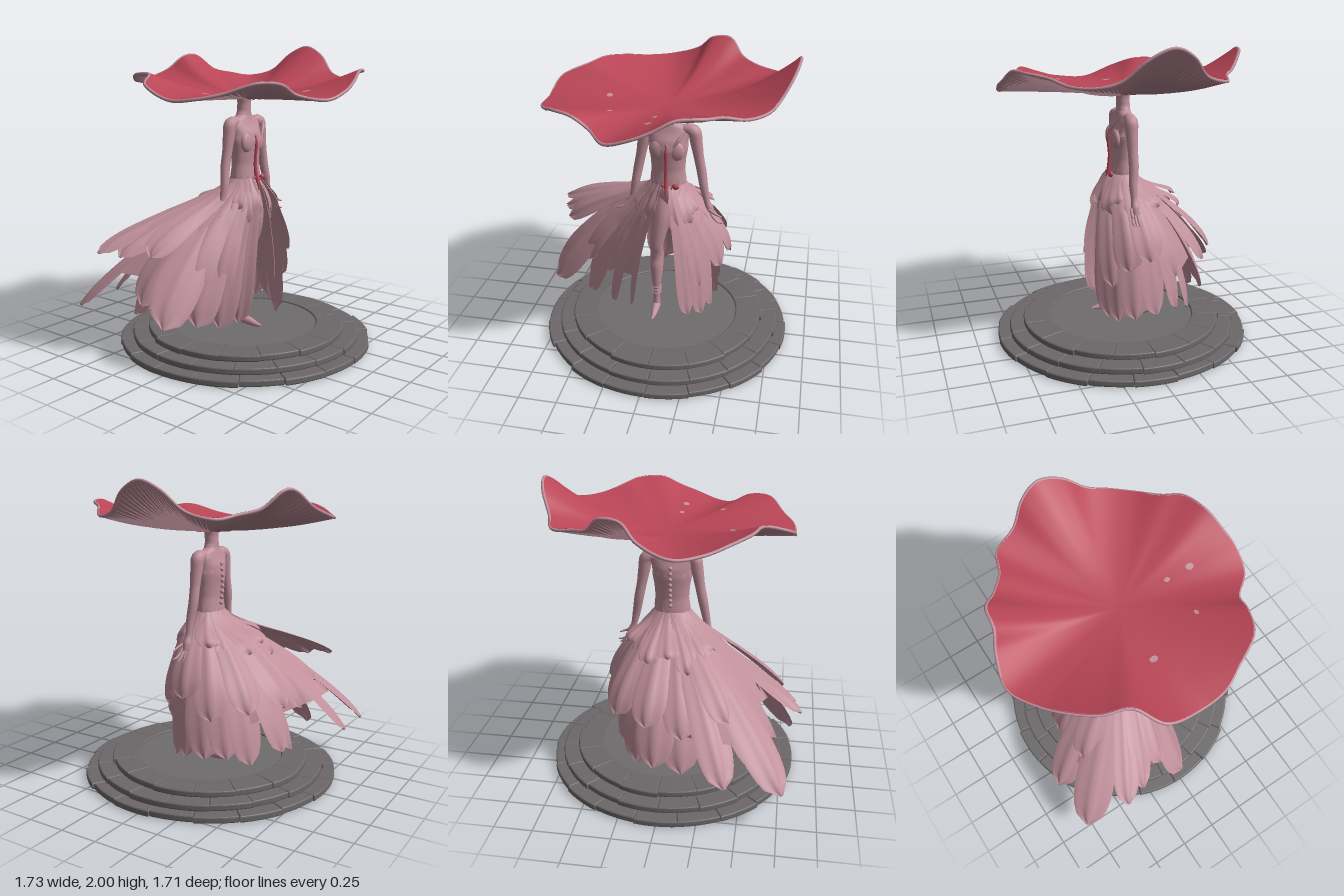
import * as THREE from 'three';
import { mergeGeometries, mergeVertices } from 'three/addons/utils/BufferGeometryUtils.js';

const V = (x, y, z) => new THREE.Vector3(x, y, z);
const D = Math.PI / 180, TAU = Math.PI * 2, CX = 0.02;
const mat = (name, color, side = THREE.FrontSide) => {
  const m = new THREE.MeshStandardMaterial({ color, side });
  m.name = name;
  return m;
};

// Smooth surface from a rule f(u, v) -> Vector3
function grid(nu, nv, f) {
  const pos = [], idx = [];
  for (let i = 0; i <= nu; i++) for (let j = 0; j <= nv; j++) pos.push(...f(i / nu, j / nv).toArray());
  for (let i = 0; i < nu; i++) for (let j = 0; j < nv; j++) {
    const a = i * (nv + 1) + j, b = a + nv + 1;
    idx.push(a, b, a + 1, b, b + 1, a + 1);
  }
  let g = new THREE.BufferGeometry();
  g.setAttribute('position', new THREE.Float32BufferAttribute(pos, 3));
  g.setIndex(idx);
  g = mergeVertices(g, 1e-5);
  g.computeVertexNormals();
  return g;
}

const sample = (list, t) => {
  const f = Math.min(t, 0.9999) * (list.length - 1), i = Math.floor(f);
  return THREE.MathUtils.lerp(list[i], list[i + 1], f - i);
};

// Round limb along a spline; each point is [x, y, z, radius]
function limb(points, n = 20, sides = 14) {
  const curve = new THREE.CatmullRomCurve3(points.map(p => V(p[0], p[1], p[2])));
  const radii = points.map(p => p[3]);
  const fr = curve.computeFrenetFrames(n);
  return grid(n, sides, (u, v) => {
    const i = Math.round(u * n), a = -TAU * v, r = sample(radii, u);
    return curve.getPoint(u).addScaledVector(fr.normals[i], r * Math.cos(a)).addScaledVector(fr.binormals[i], r * Math.sin(a));
  });
}

// Path of a skirt petal from the waist to its tip
function petalPath(az, x, y, z) {
  const c = Math.cos(az * D), s = Math.sin(az * D);
  const p0 = V(CX + 0.12 * c, 1.13, 0.085 * s), tip = V(x, y, z);
  const k = 1.18 - 0.38 * Math.min(1, Math.hypot(x, z) / 0.9);
  const p1 = V(p0.x + 0.1 * c, 1.0, p0.z + 0.08 * s);
  const p2 = V(x * k, y + 0.4 * (1.12 - y), z * k);
  return new THREE.CubicBezierCurve3(p0, p1, p2, tip);
}

// Curved petal with a lengthwise fold and rounded end; twist turns its face to the front
function petal(az, x, y, z, width, twist = 0) {
  const path = petalPath(az, x, y, z), p0 = path.v0;
  const out = V(x - p0.x, 0, z - p0.z).normalize();
  const side0 = V(-out.z, 0, out.x), n0 = V(out.x * 0.8, 0.6, out.z * 0.8);
  return grid(18, 8, (u, v) => {
    const s = v * 2 - 1, t = twist * Math.min(1, u * 2);
    const side = side0.clone().multiplyScalar(Math.cos(t)).addScaledVector(n0, Math.sin(t));
    const n = n0.clone().multiplyScalar(Math.cos(t)).addScaledVector(side0, -Math.sin(t));
    const taper = u > 0.7 ? Math.sqrt(Math.max(0.004, 1 - ((u - 0.7) / 0.3) ** 2)) : 1;
    const w = (0.025 + (width / 2) * Math.pow(u, 0.75)) * taper;
    const lift = -0.3 * w * s * s + 0.01 * u * Math.cos(s * 7);
    return path.getPoint(u).addScaledVector(side, s * w).addScaledVector(n, lift);
  });
}

// Cap edge: x, height, z around the rim
const rim = new THREE.CatmullRomCurve3([
  [0.825, 2.0, -0.04], [0.8, 1.94, 0.1], [0.73, 1.82, 0.23], [0.67, 1.78, 0.35], [0.56, 1.78, 0.48], [0.44, 1.82, 0.58],
  [0.36, 1.84, 0.68], [0.2, 1.84, 0.74], [0.08, 1.78, 0.77], [-0.04, 1.73, 0.785], [-0.2, 1.68, 0.75], [-0.32, 1.71, 0.62],
  [-0.43, 1.77, 0.59], [-0.57, 1.78, 0.53], [-0.67, 1.72, 0.36], [-0.74, 1.69, 0.22], [-0.755, 1.68, 0.03],
  [-0.73, 1.76, -0.18], [-0.57, 1.82, -0.3], [-0.51, 1.82, -0.46], [-0.4, 1.8, -0.6], [-0.26, 1.77, -0.72],
  [-0.09, 1.77, -0.81], [0.1, 1.84, -0.76], [0.2, 1.93, -0.7], [0.32, 1.94, -0.68], [0.42, 1.84, -0.59],
  [0.52, 1.81, -0.5], [0.67, 1.79, -0.43], [0.73, 1.83, -0.28], [0.8, 1.95, -0.16],
].map(p => V(...p)), true);
// A shallow dish whose waves grow towards the rim
const capPoint = (t, a, drop = 0) => {
  const e = rim.getPoint(((a % 1) + 1) % 1);
  const y = 1.67 + 0.13 * Math.pow(t, 1.7) + (e.y - 1.8) * Math.pow(t, 2.3);
  return V(CX + (e.x - CX) * t, y - drop, e.z * t);
};

export function createModel() {
  const root = new THREE.Group();
  const red = mat('cap red', 0xb84556, THREE.DoubleSide), mauve = mat('dusty mauve', 0xc0909b, THREE.DoubleSide);
  const gill = mat('gill shadow', 0x957079, THREE.DoubleSide);
  const stone = mat('stone grey', 0x6c686a), floor = mat('floor grey', 0x706c6e, THREE.DoubleSide);
  const add = (name, geo, m, parent = root) => {
    const mesh = new THREE.Mesh(geo, m);
    mesh.name = name;
    parent.add(mesh);
    return mesh;
  };
  const group = name => { const g = new THREE.Group(); g.name = name; root.add(g); return g; };
  let seed = 7;
  const rnd = () => (seed = (seed * 16807) % 2147483647) / 2147483647;

  // Stepped plinth of slightly uneven stones
  const plinth = group('plinth');
  plinth.position.x = 0.017;
  for (const [name, count, r0, r1, y, h, turn] of [
    ['lowerStones', 19, 0.71, 0.85, 0, 0.043, 0.1], ['middleStones', 18, 0.64, 0.77, 0.042, 0.043, 0.2],
    ['upperStones', 16, 0.49, 0.67, 0.083, 0.042, 0.0]]) {
    const blocks = [];
    for (let i = 0; i < count; i++) {
      const b = 0.01, a0 = turn + (i / count) * TAU + 0.013, a1 = turn + ((i + 1) / count) * TAU - 0.013;
      const R = r1 - b + (rnd() - 0.5) * 0.02, s = new THREE.Shape();
      s.absarc(0, 0, R, a0, a1, false);
      s.absarc(0, 0, r0 + b, a1, a0, true);
      const g = new THREE.ExtrudeGeometry(s, { depth: h - 2 * b, bevelSize: b, bevelThickness: b, bevelSegments: 3, curveSegments: 4 });
      g.rotateX(-Math.PI / 2).translate(0, y + b + rnd() * 0.004, 0);
      blocks.push(g);
    }
    add(name, mergeGeometries(blocks), stone, plinth);
  }
  add('floorDisc', new THREE.CylinderGeometry(0.51, 0.51, 0.02, 48).translate(0, 0.105, 0), floor, plinth);
  add('hollowUnderside', new THREE.LatheGeometry([[0.715, 0.005], [0.67, 0.05], [0.6, 0.07], [0, 0.08]]
    .map(p => new THREE.Vector2(...p)), 48), floor, plinth);

  // Wavy cap with gills below and red streaks round the neck
  const cap = group('cap');
  add('capTop', grid(24, 180, (u, v) => capPoint(u, -v)), red, cap);
  add('capUnderside', grid(24, 180, (u, v) => capPoint(u, v, 0.016)), mauve, cap);
  const fin = (a, t0, t1) => grid(10, 1, (u, v) =>
    capPoint(t0 + (t1 - t0) * u, a, 0.016 + v * 0.013 * Math.sin(Math.PI * (0.1 + 0.85 * u))));
  const fins = [], streaks = [];
  for (let i = 0; i < 150; i++) fins.push(fin(i / 150, [0.08, 0.35, 0.2][i % 3], 0.985));
  for (let i = 0; i < 16; i++) streaks.push(fin((i + 0.3) / 16, 0.08, 0.14 + 0.14 * rnd()));
  add('gills', mergeGeometries(fins), gill, cap);
  add('redStreaks', mergeGeometries(streaks), red, cap);
  const edge = new THREE.CatmullRomCurve3(rim.getPoints(160).slice(0, -1).map(p => p.setY(p.y - 0.01)), true);
  add('capRim', new THREE.TubeGeometry(edge, 220, 0.01, 8, true), mauve, cap);
  for (const [x, z, r] of [[-0.36, -0.02, 0.02], [-0.27, 0.35, 0.016], [0, 0.33, 0.019], [-0.01, 0.48, 0.026]]) {
    let t = 0, a = 0, near = 9;
    for (let i = 0; i < 1; i += 0.005) for (let j = 0.2; j < 0.9; j += 0.02) {
      const p = capPoint(j, i), d = Math.hypot(p.x - x, p.z - z);
      if (d < near) [t, a, near] = [j, i, d];
    }
    add('capSpot', grid(2, 8, (u, v) => capPoint(t + r * u * Math.cos(TAU * v) / 0.78,
      a - r * u * Math.sin(TAU * v) / (TAU * 0.78 * t), -0.003)), mauve, cap);
  }

  // Torso and neck from elliptical sections: y, half width, half depth, z centre
  const body = group('body');
  const sections = [[0.98, 0.09, 0.06, 0], [1.06, 0.12, 0.083, 0], [1.14, 0.122, 0.083, 0], [1.22, 0.112, 0.076, 0], [1.3, 0.118, 0.082, 0],
    [1.37, 0.13, 0.09, 0], [1.43, 0.132, 0.082, -0.005], [1.48, 0.145, 0.06, -0.01], [1.515, 0.12, 0.05, -0.012],
    [1.54, 0.065, 0.045, -0.012], [1.57, 0.05, 0.044, -0.012], [1.62, 0.047, 0.044, -0.01], [1.67, 0.055, 0.052, -0.01]];
  const col = k => sections.map(s => s[k]);
  add('torso', grid(48, 28, (u, v) => V(CX + sample(col(1), u) * Math.cos(TAU * v), sample(col(0), u),
    sample(col(3), u) + sample(col(2), u) * Math.sin(TAU * v))), mauve, body);
  for (const s of [-1, 1]) {
    add('bust', new THREE.SphereGeometry(0.058, 18, 12).scale(1, 1.15, 0.5).translate(CX + s * 0.058, 1.365, 0.058), mauve, body);
    // Arms hang from rounded shoulders to spread hands
    const X = x => CX + s * (x - (s > 0 ? 0.008 : 0.024));
    add('arm', limb([[X(0.1), 1.5, -0.01, 0.03], [X(0.17), 1.49, -0.01, 0.045], [X(0.19), 1.41, -0.01, 0.04],
      [X(0.208), 1.31, -0.01, 0.033], [X(0.23), 1.2, -0.01, 0.032], [X(0.248), 1.1, 0, 0.028],
      [X(0.27), 1.0, 0, 0.02], [X(0.29), 0.95, 0, 0.027], [X(0.305), 0.905, 0, 0.02]], 36), mauve, body);
    for (let i = 0; i < 4; i++) {
      const z = -0.024 + i * 0.016;
      add('finger', limb([[X(0.3), 0.92, z, 0.01], [X(0.33 + i * 0.006), 0.87, z * 1.4, 0.009],
        [X(0.34 + i * 0.016), 0.825 + i * 0.012, z * 1.6, 0.004]], 8, 8), mauve, body);
    }
    add('thumb', limb([[X(0.285), 0.95, 0.02, 0.01], [X(0.33), 0.93, 0.04, 0.009], [X(0.38), 0.91, 0.045, 0.004]], 8, 8), mauve, body);
  }
  // Bodice leaves lying on the torso, back buttons and red front trim
  for (let i = 0; i < 14; i++) {
    const a = (i + 0.5) / 14 * TAU;
    for (const [name, rx, rz, y, h] of [['bodiceLeaf', 0.125, 0.08, 1.41, 0.05], ['waistLeaf', 0.119, 0.08, 1.135, 0.08]]) {
      const m = add(name, new THREE.ConeGeometry(0.034, h, 6).scale(1, 1, 0.2), mauve, body);
      m.position.set(CX + rx * Math.cos(a), y, rz * Math.sin(a));
      m.rotation.y = Math.PI / 2 - a;
    }
  }
  add('looseLeaf', limb([[0.07, 1.4, 0.095, 0.008], [0.1, 1.45, 0.085, 0.013], [0.14, 1.5, 0.06, 0.004]], 10, 8), mauve, body);
  for (let i = 0; i < 8; i++)
    add('backButton', new THREE.SphereGeometry(0.014, 10, 8).translate(CX, 1.18 + i * 0.037, -0.083 - 0.012 * Math.sin(i / 7 * Math.PI)), mauve, body);
  add('frontTrim', limb([[CX, 1.41, 0.085, 0.004], [CX, 1.36, 0.092, 0.01], [CX, 1.25, 0.082, 0.011],
    [CX, 1.15, 0.09, 0.013], [CX + 0.005, 1.05, 0.115, 0.005]], 20, 8), red, body);
  for (const [x, y, r] of [[0.085, 1.13, 0.026], [0.055, 1.115, 0.014], [0.0, 1.13, 0.014]])
    add('waistTrim', new THREE.SphereGeometry(r, 8, 6).scale(1, 0.8, 0.6).translate(x, y, 0.094), red, body);

  // Legs and bare feet, one stepping forward
  for (const [x, z, hip, toe] of [[-0.055, 0.04, -0.02, 0.1], [0.11, -0.17, 0.08, 0.09]]) {
    add('leg', limb([[hip, 1.02, 0, 0.07], [hip * 0.9 + x * 0.1, 0.85, 0.03, 0.063], [x, 0.66, 0.03 + z * 0.3, 0.048],
      [x, 0.58, z * 0.6, 0.046], [x, 0.47, z * 0.8, 0.046], [x, 0.32, z, 0.029], [x, 0.23, z, 0.024], [x, 0.155, z, 0.028]], 36), mauve, body);
    add('foot', limb([[x, 0.15, z - 0.035, 0.012], [x, 0.158, z, 0.03], [x, 0.15, z + 0.06, 0.027],
      [x, 0.142, z + toe, 0.02], [x, 0.137, z + toe + 0.05, 0.008]], 16, 10), mauve, body);
    for (const y of [0.27, 0.295, 0.32])
      add('anklet', new THREE.TorusGeometry(0.03, 0.005, 6, 18).rotateX(Math.PI / 2 + 0.15).translate(x, y, z), mauve, body);
  }

  // Windswept skirt: azimuth, tip x, y, z, width, twist
  const skirt = group('skirt');
  const long = [[70, 0.19, 0.17, 0.14, 0.18, -0.1], [45, 0.28, 0.17, 0.1, 0.2, -0.3], [15, 0.33, 0.19, 0, 0.22, -0.2], [-15, 0.33, 0.2, -0.15, 0.24],
    [-45, 0.3, 0.22, -0.3, 0.24], [-65, 0.2, 0.17, -0.42, 0.26], [-82, 0.06, 0.25, -0.58, 0.26], [-98, -0.12, 0.2, -0.55, 0.28],
    [-112, -0.42, 0.3, -0.81, 0.24], [-130, -0.77, 0.28, -0.79, 0.28], [-148, -0.6, 0.24, -0.45, 0.3, 0.2], [-165, -0.71, 0.36, -0.28, 0.3, 0.5],
    [-185, -0.81, 0.29, 0, 0.3, 0.7], [-205, -0.55, 0.24, 0.04, 0.28, 0.6], [-226, -0.37, 0.19, 0.08, 0.24, 0.4], [-248, -0.22, 0.19, 0.12, 0.17, 0.1]];
  const middle = [[62, 0.27, 0.42, 0.14, 0.17, -0.1], [32, 0.4, 0.56, 0.07, 0.19, -0.3], [0, 0.445, 0.63, -0.06, 0.2, -0.1], [-30, 0.41, 0.5, -0.25, 0.22],
    [-55, 0.32, 0.56, -0.47, 0.22], [-80, 0.1, 0.57, -0.61, 0.22], [-102, -0.13, 0.5, -0.61, 0.22], [-122, -0.42, 0.62, -0.58, 0.22],
    [-142, -0.86, 0.7, -0.5, 0.17, 0.3], [-158, -0.82, 0.69, -0.35, 0.18, 0.5], [-178, -0.74, 0.7, -0.16, 0.17, 0.7],
    [-200, -0.58, 0.5, 0.03, 0.24, 0.6], [-220, -0.4, 0.45, 0.1, 0.2, 0.5]];
  long.forEach(p => add('longPetal', petal(...p), mauve, skirt));
  middle.forEach(p => add('middlePetal', petal(...p), mauve, skirt));
  for (let i = 0; i < 17; i++) {
    const az = 68 - i * 19.4, c = Math.cos(az * D), s = Math.sin(az * D), back = Math.max(0, -s);
    const r = 0.24 + 0.03 * (i % 2) + 0.14 * back;
    add('shortPetal', petal(az, CX + r * c - 0.05 * back, 0.84 + 0.05 * (i % 3), r * s * (s > 0 ? 0.62 : 1), 0.12), mauve, skirt);
  }
  // Lining that joins the long petals and stays open at the front
  const paths = long.map(p => petalPath(...p));
  add('skirtLining', grid(16, 60, (u, v) => {
    const f = Math.min(v, 0.9999) * (paths.length - 1), i = Math.floor(f), t = u * 0.78;
    const p = paths[i].getPoint(t).lerp(paths[i + 1].getPoint(t), f - i);
    return V(CX + (p.x - CX) * 0.95, p.y - 0.01, p.z * 0.95);
  }), mauve, skirt);

  return root;
}
